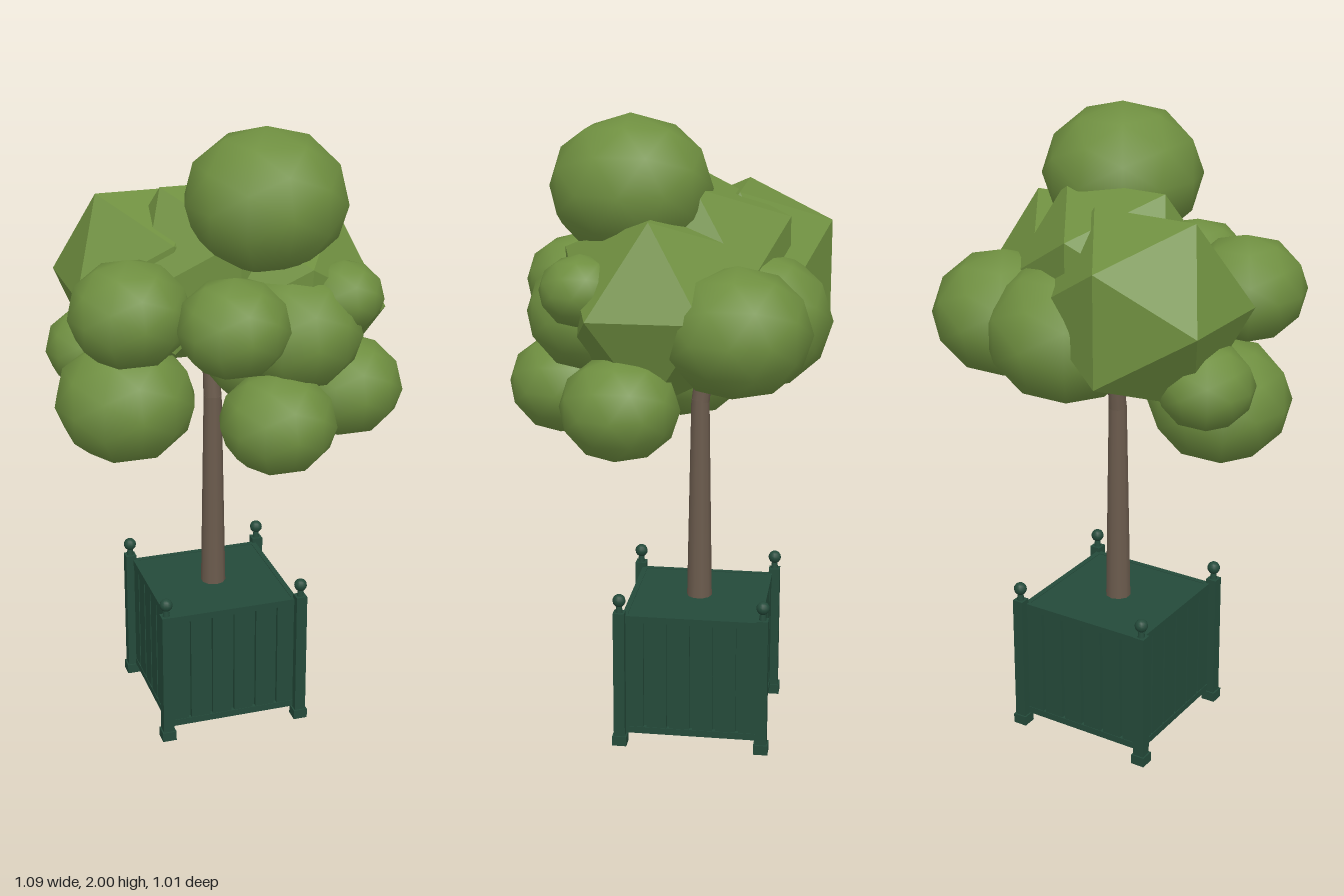
import * as THREE from 'three';

const green = new THREE.MeshStandardMaterial({ color: 0x244a3a });
const bark = new THREE.MeshStandardMaterial({ color: 0x6b5b4d });
const leaf = new THREE.MeshStandardMaterial({ color: 0x6f8f40 });

function add(parent, name, geometry, material, x, y, z) {
  const mesh = new THREE.Mesh(geometry, material);
  mesh.name = name;
  mesh.position.set(x, y, z);
  parent.add(mesh);
  return mesh;
}

// Square slatted planter with four finialled posts
function createPlanter() {
  const planter = new THREE.Group();
  planter.name = 'planter';
  add(planter, 'planterBody', new THREE.BoxGeometry(0.41, 0.4, 0.41), green, 0, 0.238, 0);

  const slat = new THREE.BoxGeometry(0.064, 0.39, 0.015);
  const rail = new THREE.BoxGeometry(0.43, 0.022, 0.017);
  for (let side = 0; side < 4; side++) {
    const panel = new THREE.Group();
    panel.name = 'sidePanel';
    panel.rotation.y = side * Math.PI / 2;
    for (let i = 0; i < 6; i++) add(panel, 'slat', slat, green, (i - 2.5) * 0.074, 0.237, 0.2115);
    for (const y of [0.046, 0.429]) add(panel, 'rail', rail, green, 0, y, 0.2125);
    planter.add(panel);
  }

  for (const x of [-0.2275, 0.2275]) {
    for (const z of [-0.2275, 0.2275]) {
      add(planter, 'post', new THREE.BoxGeometry(0.036, 0.43, 0.036), green, x, 0.24, z);
      add(planter, 'foot', new THREE.BoxGeometry(0.046, 0.032, 0.046), green, x, 0.016, z);
      add(planter, 'finialNeck', new THREE.CylinderGeometry(0.009, 0.012, 0.025, 8), green, x, 0.466, z);
      add(planter, 'finial', new THREE.SphereGeometry(0.021, 12, 8), green, x, 0.494, z);
    }
  }
  return planter;
}

// Tapered limb between two points
function limb(parent, name, from, to, r0, r1) {
  const a = new THREE.Vector3(...from), b = new THREE.Vector3(...to);
  const dir = b.clone().sub(a);
  const mid = a.clone().add(b).multiplyScalar(0.5);
  const mesh = add(parent, name, new THREE.CylinderGeometry(r1, r0, dir.length(), 10), bark, mid.x, mid.y, mid.z);
  mesh.quaternion.setFromUnitVectors(new THREE.Vector3(0, 1, 0), dir.normalize());
}

export function createModel() {
  const model = new THREE.Group();
  model.name = 'pottedTree';

  const planter = createPlanter();
  planter.position.set(-0.015, 0, -0.09);
  model.add(planter);

  // Trunk with a slight bend near the crown
  limb(model, 'trunk', [-0.015, 0.42, -0.09], [-0.015, 1.1, -0.09], 0.041, 0.029);
  limb(model, 'upperTrunk', [-0.015, 1.09, -0.09], [-0.02, 1.45, -0.13], 0.029, 0.022);

  // Crown: smooth, slightly flattened clumps [x, y, z, radius]
  const crown = new THREE.Group();
  crown.name = 'crown';
  model.add(crown);
  const clumps = [
    [0.09, 1.78, 0.11, 0.25],
    [-0.338, 1.475, 0.128, 0.188],
    [-0.325, 1.155, 0, 0.222],
    [-0.07, 1.46, 0.3, 0.172],
    [0.06, 1.16, 0.325, 0.18],
    [0.36, 1.165, 0.105, 0.182],
    [0.15, 1.405, 0.22, 0.205],
    [0.295, 1.5, 0.23, 0.125],
    [0.3, 1.39, -0.235, 0.225],
    [0.06, 1.38, -0.255, 0.25],
    [-0.38, 1.27, -0.19, 0.15],
    [0.1, 1.29, 0.06, 0.19],
  ];
  for (const [x, y, z, r] of clumps) {
    add(crown, 'leafClump', new THREE.IcosahedronGeometry(r, 1), leaf, x, y, z).scale.y = 0.88;
  }

  // Faceted clumps filling the core
  for (const [x, y, z] of [[-0.182, 1.48, -0.208], [-0.01, 1.515, -0.09], [0.175, 1.44, 0.02]]) {
    add(crown, 'facetedLeafClump', new THREE.IcosahedronGeometry(0.324, 0), leaf, x, y, z);
  }
  return model;
}
